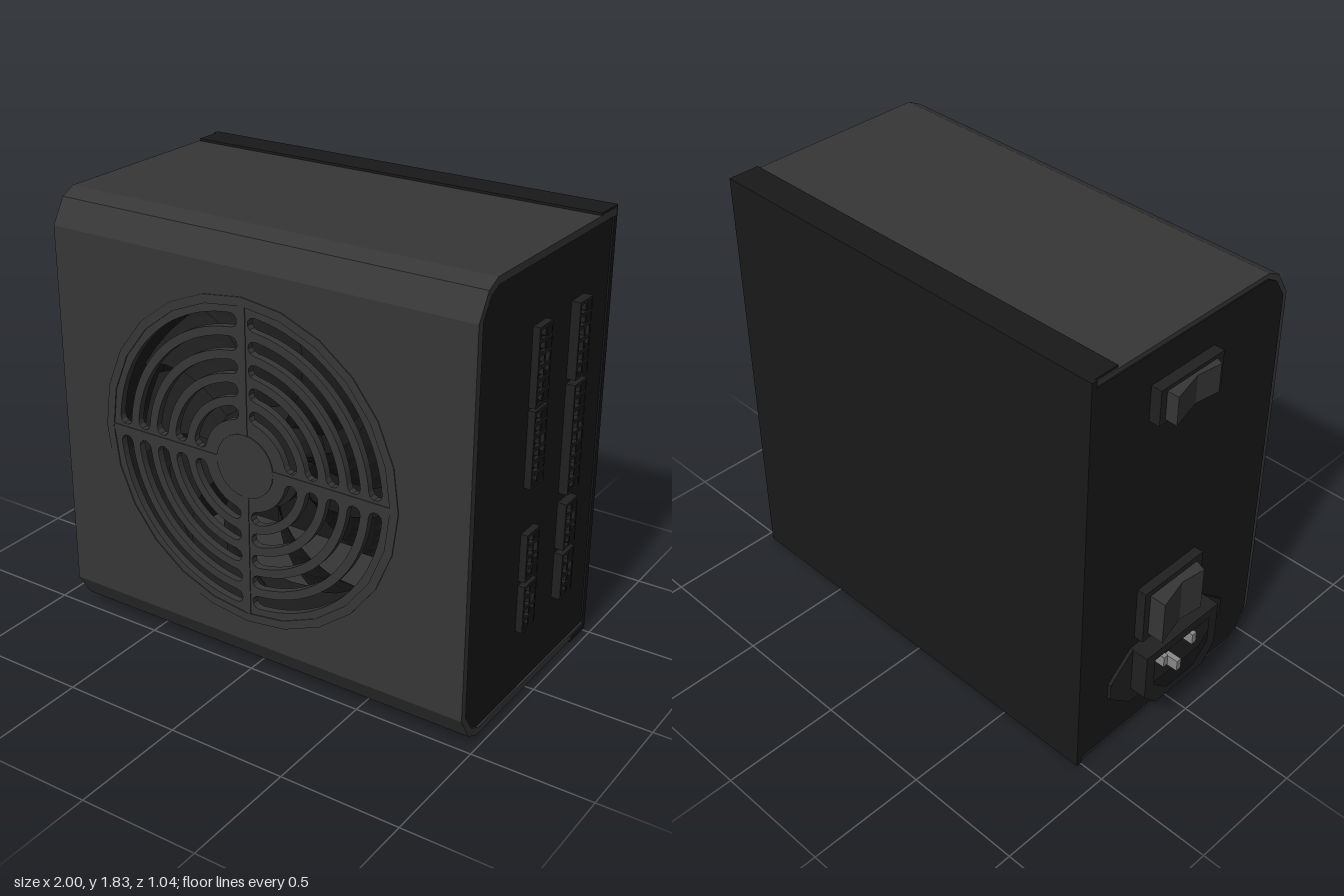
import * as THREE from 'three';

const paint = (color, side = THREE.FrontSide) =>
  new THREE.MeshStandardMaterial({ color, side, flatShading: true });

export function createModel() {
  const root = new THREE.Group();
  const coat = paint(0x363636), dark = paint(0x191919), plastic = paint(0x202020);
  const blade = paint(0x1c1c1c, THREE.DoubleSide), metal = paint(0x8a8a8a);

  function add(name, geo, mat, parent = root) {
    const m = new THREE.Mesh(geo, mat);
    m.name = name;
    parent.add(m);
    return m;
  }
  function group(name, parent = root) {
    const g = new THREE.Group();
    g.name = name;
    parent.add(g);
    return g;
  }
  // box given by its limits
  function box(name, x0, x1, y0, y1, z0, z1, mat, parent) {
    const geo = new THREE.BoxGeometry(x1 - x0, y1 - y0, z1 - z0);
    geo.translate((x0 + x1) / 2, (y0 + y1) / 2, (z0 + z1) / 2);
    return add(name, geo, mat, parent);
  }
  const extrude = (shape, depth) =>
    new THREE.ExtrudeGeometry(shape, { depth, bevelEnabled: false, curveSegments: 12 });
  // outline of [z, y] points extruded along x
  const zyPoints = pts => pts.map(([z, y]) => new THREE.Vector2(-z, y));
  function extrudeX(pts, x0, x1, holes = []) {
    const shape = new THREE.Shape(zyPoints(pts));
    holes.forEach(h => shape.holes.push(new THREE.Path(zyPoints(h))));
    return extrude(shape, x1 - x0).rotateY(Math.PI / 2).translate(x0, 0, 0);
  }
  const rect = (z0, z1, y0, y1) => [[z0, y0], [z1, y0], [z1, y1], [z0, y1]];

  // ---- Casing ----
  const X0 = -0.885, X1 = 0.967, MID = 0.915;
  const edge = [[-0.51, 1.82], [0.40, 1.82], [0.46, 1.79], [0.52, 1.69],
    [0.49, 1.69], [0.44, 1.765], [0.39, 1.79], [-0.51, 1.79]];
  const flip = pts => pts.map(([z, y]) => [z, 2 * MID - y]);
  add('coverTop', extrudeX(edge, X0, X1), coat);
  add('coverBottom', extrudeX(flip(edge), X0, X1), coat);

  const sideTop = [[-0.515, 1.80], [0.395, 1.80], [0.445, 1.77], [0.495, 1.69]];
  const sideOutline = [...sideTop, ...flip(sideTop).reverse()];
  add('connectorPanel', extrudeX(sideOutline, 0.93, 0.96), dark);
  add('inletPanel', extrudeX(sideOutline, -0.89, -0.86), dark);
  box('backPanel', -0.89, X1, 0, 1.83, -0.52, -0.495, dark);
  box('topFlange', -0.88, X1, 1.80, 1.83, -0.52, -0.385, dark);
  box('bottomFlange', -0.88, X1, 0, 0.03, -0.52, -0.385, dark);

  // ---- Front panel with slotted fan grille ----
  const CX = 0.006, CY = 0.91;
  const front = new THREE.Shape([[X0, 0.14], [X1, 0.14], [X1, 1.69], [X0, 1.69]]
    .map(p => new THREE.Vector2(p[0] - CX, p[1] - CY)));
  const half = 0.028;
  for (let q = 0; q < 4; q++) {
    for (let i = 0; i < 5; i++) {
      const r = 0.215 + i * 0.091;
      const gap = Math.asin((0.024 + half) / r);
      const a = q * Math.PI / 2 + gap, b = (q + 1) * Math.PI / 2 - gap;
      const slot = new THREE.Path();
      slot.absarc(0, 0, r + half, a, b, false);
      for (let k = 1; k < 5; k++) {
        const t = b + k * Math.PI / 5;
        slot.lineTo(r * Math.cos(b) + half * Math.cos(t), r * Math.sin(b) + half * Math.sin(t));
      }
      slot.absarc(0, 0, r - half, b, a, true);
      for (let k = 1; k < 5; k++) {
        const t = a + Math.PI + k * Math.PI / 5;
        slot.lineTo(r * Math.cos(a) + half * Math.cos(t), r * Math.sin(a) + half * Math.sin(t));
      }
      front.holes.push(slot);
    }
  }
  add('frontGrille', extrude(front, 0.03), coat).position.set(CX, CY, 0.49);

  // Raised rim, cross bars and centre disc
  const trim = group('grilleTrim');
  trim.position.set(CX, CY, 0.517);
  const circle = (r, n) => Array.from({ length: n }, (_, i) =>
    new THREE.Vector2(r * Math.cos(i / n * 2 * Math.PI), r * Math.sin(i / n * 2 * Math.PI)));
  const rim = new THREE.Shape(circle(0.675, 24));
  rim.holes.push(new THREE.Path(circle(0.64, 24)));
  add('rim', extrude(rim, 0.007), coat, trim);
  for (let q = 0; q < 4; q++) {
    const bar = box('crossBar', 0.12, 0.645, -0.014, 0.014, 0, 0.006, coat, trim);
    bar.rotation.z = q * Math.PI / 2;
  }
  add('centreDisc', extrude(new THREE.Shape(circle(0.13, 24)), 0.007), coat, trim);

  // ---- Fan ----
  const fan = group('fan');
  fan.position.set(CX, CY, 0.36);
  const hub = new THREE.CylinderGeometry(0.2, 0.2, 0.16, 24).rotateX(Math.PI / 2);
  add('fanHub', hub, plastic, fan);
  const frame = new THREE.CylinderGeometry(0.64, 0.64, 0.26, 32, 1, true).rotateX(Math.PI / 2);
  add('fanFrame', frame, blade, fan);
  for (let i = 0; i < 9; i++) {
    const geo = new THREE.PlaneGeometry(1, 1, 5, 4);
    const p = geo.attributes.position;
    for (let k = 0; k < p.count; k++) {
      const u = p.getX(k) + 0.5, v = p.getY(k);
      const r = 0.18 + 0.43 * u;
      const ang = i / 9 * 2 * Math.PI + 0.35 * u * u + v * 0.55;
      p.setXYZ(k, r * Math.cos(ang), r * Math.sin(ang), v * (0.16 - 0.04 * u));
    }
    geo.computeVertexNormals();
    add('fanBlade', geo, blade, fan);
  }

  // ---- Modular sockets: [bottom, top, rows] ----
  function socket(zc, y0, y1, rows, x1) {
    const g = group('modularSocket');
    const holes = [], pitch = (y1 - y0 - 0.01) / rows;
    for (let r = 0; r < rows; r++) {
      for (const s of [-1, 1]) {
        const y = y0 + 0.005 + (r + 0.5) * pitch, z = zc + s * 0.023;
        holes.push(rect(z - 0.017, z + 0.017, y - 0.017, y + 0.017));
      }
    }
    add('socketBody', extrudeX(rect(zc - 0.05, zc + 0.05, y0, y1), 0.955, x1, holes), plastic, g);
    box('socketLatch', 0.955, x1 - 0.006, (y0 + y1) / 2 - 0.04, (y0 + y1) / 2 + 0.04,
      zc - 0.058, zc - 0.05, plastic, g);
  }
  const small = [[0.31, 0.51, 4], [0.53, 0.73, 4]];
  [...small, [0.92, 1.23, 6], [1.24, 1.55, 6]].forEach(s => socket(0.06, ...s, 0.988));
  [...small, [0.77, 1.225, 9], [1.245, 1.55, 6]].forEach(s => socket(-0.24, ...s, 0.997));

  // ---- Rocker switches ----
  function rocker(name, y0, y1, lip, xPlate, xTip) {
    const g = group(name);
    box('switchPlate', xPlate, -0.88, y0, y1, -0.22, 0.11, plastic, g);
    const pts = [[xPlate + 0.01, -0.19], [xTip, -0.19], [xTip + 0.035, -0.05],
      [xTip + 0.02, 0.06], [xPlate + 0.01, 0.08]];
    const shape = new THREE.Shape(pts.map(([x, z]) => new THREE.Vector2(x, -z)));
    const geo = extrude(shape, y1 - y0 - 2 * lip).rotateX(-Math.PI / 2).translate(0, y0 + lip, 0);
    add('rocker', geo, coat, g);
  }
  rocker('smallSwitch', 1.515, 1.665, 0.015, -0.935, -0.985);
  rocker('powerSwitch', 0.485, 0.73, 0.025, -0.93, -1.0);

  // ---- Power inlet ----
  const inlet = group('powerInlet');
  add('inletFlange', extrudeX([[-0.36, 0.26], [-0.24, 0.155], [0.18, 0.155], [0.30, 0.26],
    [0.30, 0.335], [0.18, 0.44], [-0.24, 0.44], [-0.36, 0.335]], -0.905, -0.885), plastic, inlet);
  const opening = [[-0.19, 0.27], [-0.11, 0.195], [0.05, 0.195], [0.13, 0.27],
    [0.13, 0.40], [-0.19, 0.40]];
  const body = [[-0.24, 0.23], [-0.17, 0.155], [0.11, 0.155], [0.18, 0.23],
    [0.18, 0.44], [-0.24, 0.44]];
  add('inletBody', extrudeX(body, -0.975, -0.90, [opening]), plastic, inlet);
  for (const [z, y] of [[-0.115, 0.335], [0.055, 0.335], [-0.03, 0.25]]) {
    box('inletPin', -0.968, -0.89, y - 0.025, y + 0.025, z - 0.012, z + 0.012, metal, inlet);
  }
  return root;
}
